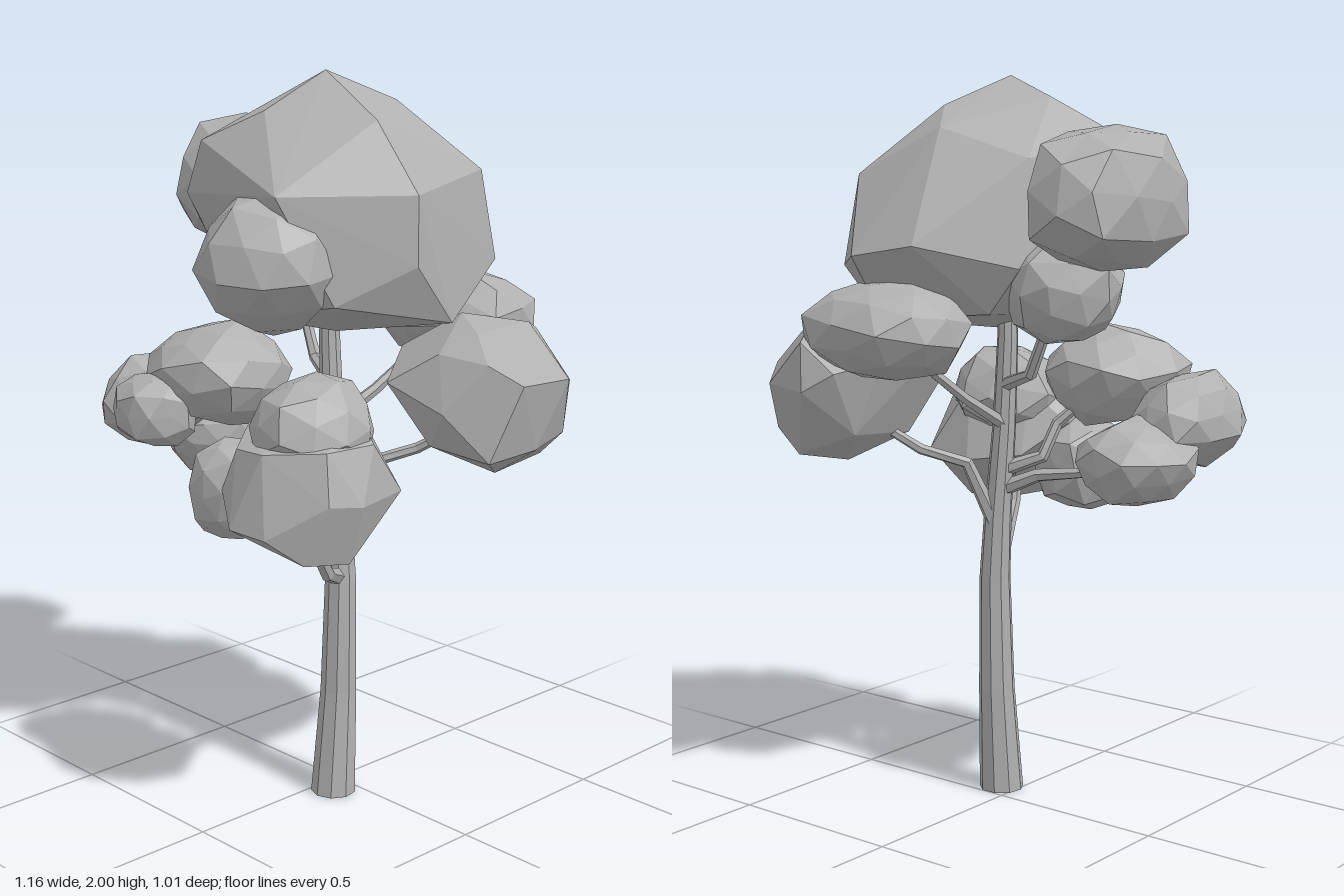
import * as THREE from 'three';
import { ConvexGeometry } from 'three/addons/geometries/ConvexGeometry.js';

const clay = new THREE.MeshStandardMaterial({ color: 0xb0b0b0, flatShading: true });
clay.name = 'plain grey';

const UP = new THREE.Vector3(0, 1, 0);

// Tapered faceted limb; each station is [x, y, z, radius]
function limb(name, stations, sides) {
  const pts = stations.map(([x, y, z]) => new THREE.Vector3(x, y, z));
  const pos = [], index = [];
  pts.forEach((p, i) => {
    const dir = new THREE.Vector3().subVectors(
      pts[Math.min(i + 1, pts.length - 1)], pts[Math.max(i - 1, 0)]).normalize();
    // the trunk foot stays level with the ground
    if (p.y === 0) dir.copy(UP);
    const q = new THREE.Quaternion().setFromUnitVectors(UP, dir);
    for (let s = 0; s < sides; s++) {
      const a = (s / sides) * Math.PI * 2, r = stations[i][3];
      const v = new THREE.Vector3(Math.sin(a) * r, 0, Math.cos(a) * r).applyQuaternion(q).add(p);
      pos.push(v.x, v.y, v.z);
    }
  });
  for (let i = 0; i < pts.length - 1; i++) {
    for (let s = 0; s < sides; s++) {
      const a = i * sides + s, b = i * sides + (s + 1) % sides;
      index.push(a, b, b + sides, a, b + sides, a + sides);
    }
  }
  // end caps
  const last = (pts.length - 1) * sides;
  for (let s = 1; s < sides - 1; s++) {
    index.push(0, s + 1, s, last, last + s, last + s + 1);
  }
  const g = new THREE.BufferGeometry();
  g.setAttribute('position', new THREE.Float32BufferAttribute(pos, 3));
  g.setIndex(index);
  g.computeVertexNormals();
  const mesh = new THREE.Mesh(g, clay);
  mesh.name = name;
  return mesh;
}

// Lumpy faceted leaf clump: a coarse sphere whose corners shift in and out
function clump(name, [x, y, z], [rx, ry, rz], seed, yaw = 0) {
  const g = new THREE.IcosahedronGeometry(1, 1);
  g.rotateY(seed * 1.3);
  g.rotateX(seed * 0.7);
  const p = g.attributes.position, v = new THREE.Vector3();
  for (let i = 0; i < p.count; i++) {
    v.fromBufferAttribute(p, i);
    const wave = Math.sin(v.x * 5.1 + seed * 2.7) + Math.sin(v.y * 6.3 + seed * 1.9)
      + Math.sin(v.z * 5.7 + seed * 3.1);
    v.multiplyScalar(1.02 + 0.045 * wave);
    p.setXYZ(i, v.x * rx, v.y * ry, v.z * rz);
  }
  g.computeVertexNormals();
  const mesh = new THREE.Mesh(g, clay);
  mesh.name = name;
  mesh.position.set(x, y, z);
  mesh.rotation.y = yaw;
  return mesh;
}

// Large angular leaf mass wrapped around a few corner points
function boulder(name, corners) {
  const mesh = new THREE.Mesh(
    new ConvexGeometry(corners.map((c) => new THREE.Vector3(...c))), clay);
  mesh.name = name;
  return mesh;
}

export function createModel() {
  const tree = new THREE.Group();
  tree.name = 'tree';

  // Trunk
  tree.add(limb('trunk', [
    [0.05, 0, 0.062, 0.063], [0.05, 0.3, 0.041, 0.051], [0.05, 0.62, 0.033, 0.044],
    [0.04, 0.8, 0.033, 0.039], [0.015, 1.05, 0.03, 0.033], [0, 1.3, 0.027, 0.029],
    [0, 1.5, 0.02, 0.022],
  ], 9));

  // Branches
  const branches = {
    frontBranch: [[0.05, 0.63, 0.04, 0.026], [0.1, 0.67, 0.13, 0.021],
      [0.13, 0.8, 0.22, 0.018], [0.15, 0.95, 0.27, 0.012]],
    rightBranch: [[0.04, 0.78, 0.02, 0.024], [0.09, 0.95, -0.04, 0.018],
      [0.18, 0.99, -0.13, 0.015], [0.32, 1.08, -0.2, 0.012]],
    lowLeftBranch: [[0.035, 0.87, 0.03, 0.024], [-0.08, 0.92, 0.06, 0.019],
      [-0.2, 0.935, 0.09, 0.016], [-0.36, 0.98, 0.11, 0.012]],
    midLeftBranch: [[0.02, 0.93, 0.03, 0.022], [-0.08, 0.97, 0.08, 0.018],
      [-0.1, 1.06, 0.12, 0.016], [-0.2, 1.17, 0.19, 0.012]],
    backBranch: [[0.01, 1.06, 0.02, 0.02], [0.05, 1.14, -0.1, 0.016],
      [0.1, 1.28, -0.28, 0.012]],
    highLeftBranch: [[0, 1.17, 0.02, 0.02], [-0.13, 1.21, -0.04, 0.017],
      [-0.2, 1.34, -0.06, 0.015], [-0.27, 1.44, -0.07, 0.012]],
  };
  for (const [name, stations] of Object.entries(branches)) tree.add(limb(name, stations, 6));

  // Main crown, leaning across the trunk
  tree.add(boulder('mainCrown', [
    [0, 2, 0.04], [-0.15, 1.94, 0.02], [0.08, 1.92, -0.14], [-0.06, 1.9, 0.2],
    [-0.28, 1.83, 0.18], [-0.22, 1.82, 0.28], [-0.2, 1.78, -0.14], [0.18, 1.88, 0.03],
    [0.02, 1.86, -0.23], [0.32, 1.7, 0.02], [0.26, 1.74, -0.28], [0.1, 1.7, 0.31],
    [-0.27, 1.68, 0.29], [-0.31, 1.62, 0.12], [0.17, 1.53, -0.41], [-0.02, 1.56, -0.39],
    [0.28, 1.5, -0.32], [-0.22, 1.5, -0.2], [0.33, 1.52, 0.03], [0.33, 1.36, -0.1],
    [0.2, 1.42, 0.2], [-0.1, 1.36, 0.22], [-0.12, 1.38, -0.2], [0.18, 1.36, -0.28],
    [0.05, 1.32, 0.05], [-0.24, 1.52, 0.22],
  ]));

  // Right leaf mass
  tree.add(boulder('rightClump', [
    [0.58, 1.23, -0.1], [0.57, 1.22, -0.29], [0.46, 1.18, -0.43], [0.3, 1.17, -0.47],
    [0.42, 1.15, 0.03], [0.53, 1.03, -0.03], [0.54, 1.04, -0.2], [0.3, 1.375, -0.17],
    [0.4, 1.34, -0.12], [0.13, 1.27, -0.12], [0.15, 1.25, -0.32], [0.21, 1.2, 0.02],
    [0.34, 0.96, -0.25], [0.42, 0.98, -0.36], [0.25, 1.03, -0.1], [0.22, 1.05, -0.35],
    [0.47, 0.98, -0.12], [0.42, 1.35, -0.3], [0.32, 1.3, -0.45], [0.35, 1.29, -0.03],
    [0.22, 1.22, -0.43], [0.35, 1.05, 0], [0.49, 1.05, -0.37], [0.5, 1.28, -0.05],
  ]));

  // Lower front leaf mass
  tree.add(boulder('frontClump', [
    [0.39, 0.95, 0.28], [0.36, 0.96, 0.37], [0.345, 1.09, 0.2], [0.345, 0.95, 0.1],
    [0.34, 0.79, 0.28], [0.3, 0.8, 0.4], [0.13, 0.88, 0.5], [0.24, 0.87, 0.48],
    [0.13, 0.81, 0.36], [0.15, 0.81, 0.22], [0.2, 0.93, 0.09], [0.05, 0.95, 0.15],
    [-0.04, 1.04, 0.25], [0.02, 0.95, 0.43], [0.2, 1.08, 0.45], [0.08, 1.07, 0.43],
    [0.33, 1.09, 0.35], [0.22, 1.14, 0.13], [0.06, 1.13, 0.2], [-0.02, 1.1, 0.3],
  ]));

  // Smaller leaf clumps: name, centre, radii, yaw
  const clumps = [
    ['crownFrontClump', [0.005, 1.52, 0.24], [0.185, 0.182, 0.185]],
    ['highLeftClump', [-0.395, 1.675, -0.06], [0.175, 0.195, 0.275], 0.15],
    ['highLeftLowerClump', [-0.255, 1.445, -0.06], [0.16, 0.14, 0.165]],
    ['backClump', [0.13, 1.335, -0.325], [0.235, 0.13, 0.18]],
    ['frontUpperClump', [0.175, 1.11, 0.25], [0.165, 0.135, 0.165]],
    ['frontSideClump', [-0.04, 0.92, 0.32], [0.13, 0.14, 0.14]],
    ['leftInnerClump', [-0.21, 1.195, 0.235], [0.2, 0.135, 0.165], 0.4],
    ['leftOuterClump', [-0.44, 1.085, 0.27], [0.14, 0.125, 0.175]],
    ['leftFrontClump', [-0.305, 1.1, 0.385], [0.12, 0.105, 0.11]],
    ['leftLowerClump', [-0.38, 0.985, 0.1], [0.165, 0.115, 0.165]],
  ];
  clumps.forEach(([name, centre, radii, yaw], i) => {
    tree.add(clump(name, centre, radii, i + 1, yaw));
  });

  return tree;
}
